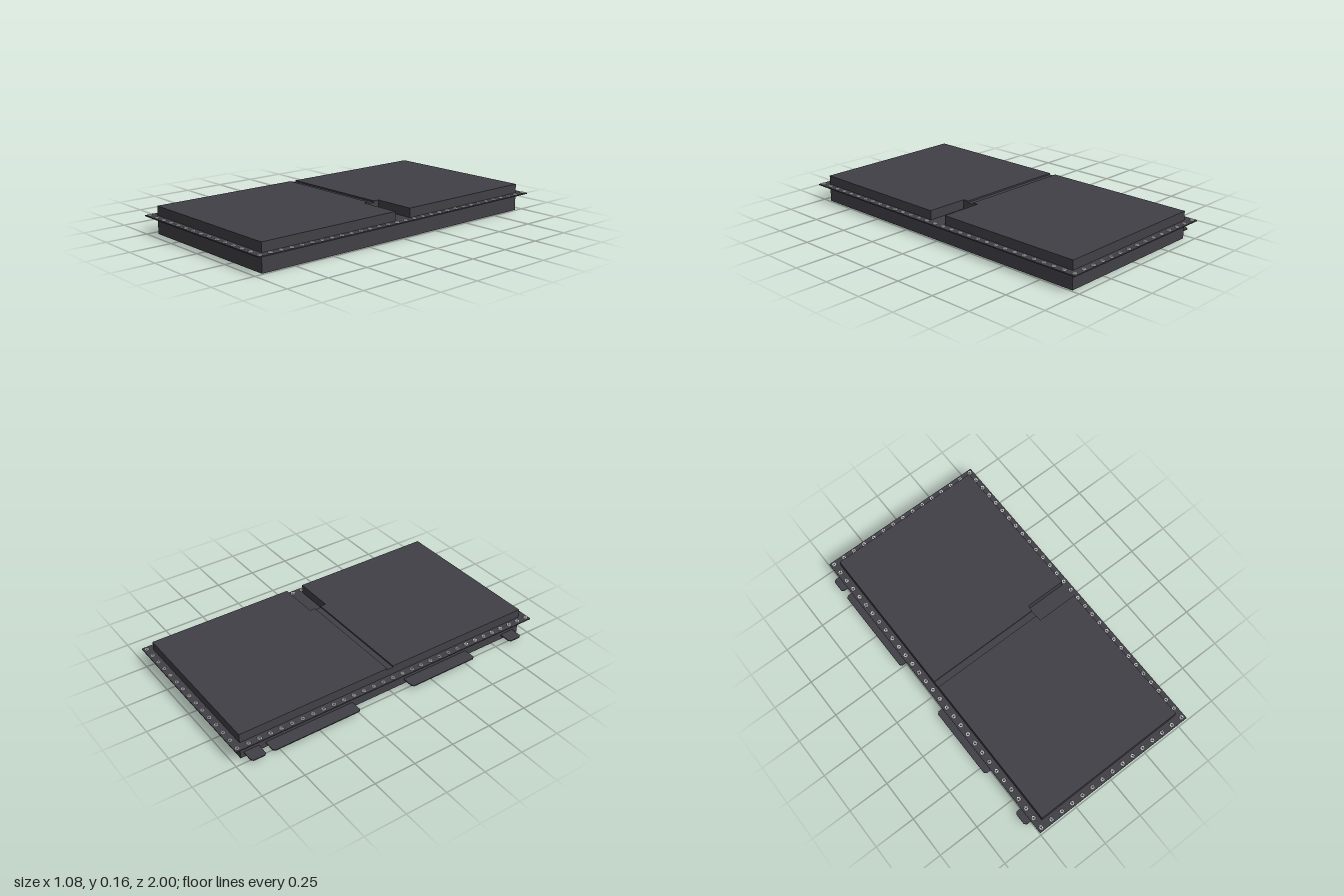
import * as THREE from 'three';
import { mergeGeometries } from 'three/addons/utils/BufferGeometryUtils.js';

// Horizontal slab from a plan outline of [x, z] points, between two heights
function slab(points, y0, y1) {
  const shape = new THREE.Shape(points.map(([x, z]) => new THREE.Vector2(x, -z)));
  const geo = new THREE.ExtrudeGeometry(shape, { depth: y1 - y0, bevelEnabled: false });
  return geo.rotateX(-Math.PI / 2).translate(0, y0, 0);
}

const rect = (x0, x1, z0, z1) => [[x0, z0], [x1, z0], [x1, z1], [x0, z1]];

export function createModel() {
  const group = new THREE.Group();
  const charcoal = new THREE.MeshStandardMaterial({ color: 0x414046 });
  charcoal.name = 'charcoal';
  const white = new THREE.MeshStandardMaterial({ color: 0xf0f0f0 });
  white.name = 'white';

  const add = (name, geo, material = charcoal) => {
    const mesh = new THREE.Mesh(geo, material);
    mesh.name = name;
    group.add(mesh);
  };

  const left = 0.49, right = -0.46, end = 0.95;
  const flangeTop = 0.106, top = 0.16;

  // Lower tray and the thin flange around it
  add('lowerBody', slab(rect(right, left, -end, end), 0, 0.1));
  add('flange', slab(rect(-0.51, 0.537, -1, 1), 0.1, flangeTop));

  // Two lid halves, each cut back around the latch recess
  for (const s of [1, -1]) {
    add(s > 0 ? 'frontLid' : 'backLid', slab([
      [right, s * 0.02], [0.24, s * 0.02], [0.24, s * 0.055],
      [left, s * 0.055], [left, s * end], [right, s * end],
    ], flangeTop, top));
  }

  // Floor of the shallow groove between the halves
  add('grooveFloor', slab(rect(right, 0.24, -0.02, 0.02), flangeTop, 0.151));

  // Hinge tabs low on the right side, with clipped outer corners
  const tabs = [[-0.93, -0.84], [-0.8, -0.25], [0.1, 0.55], [0.82, 0.91]];
  for (const [z0, z1] of tabs) {
    const c = 0.012, outer = -0.54;
    add('hingeTab', slab([
      [right, z0], [outer + c, z0], [outer, z0 + c],
      [outer, z1 - c], [outer + c, z1], [right, z1],
    ], 0.027, 0.033));
  }

  // Hexagonal rings along all four sides of the flange
  const profile = [[0.014, 0], [0.012, 0.005], [0.006, 0.005], [0.005, 0]]
    .map(([r, y]) => new THREE.Vector2(r, y));
  const ring = new THREE.LatheGeometry(profile, 6).toNonIndexed();
  ring.computeVertexNormals();
  const rings = [];
  const place = (x, z) => rings.push(ring.clone().translate(x, flangeTop, z));
  const x0 = -0.488, x1 = 0.514, zEnd = 0.98;
  for (let i = 0; i <= 14; i++) {
    const x = x0 + (x1 - x0) * i / 14;
    place(x, -zEnd);
    place(x, zEnd);
  }
  for (let i = 1; i < 30; i++) {
    const z = -zEnd + 2 * zEnd * i / 30;
    place(x0, z);
    place(x1, z);
  }
  add('flangeScrews', mergeGeometries(rings), white);

  return group;
}
